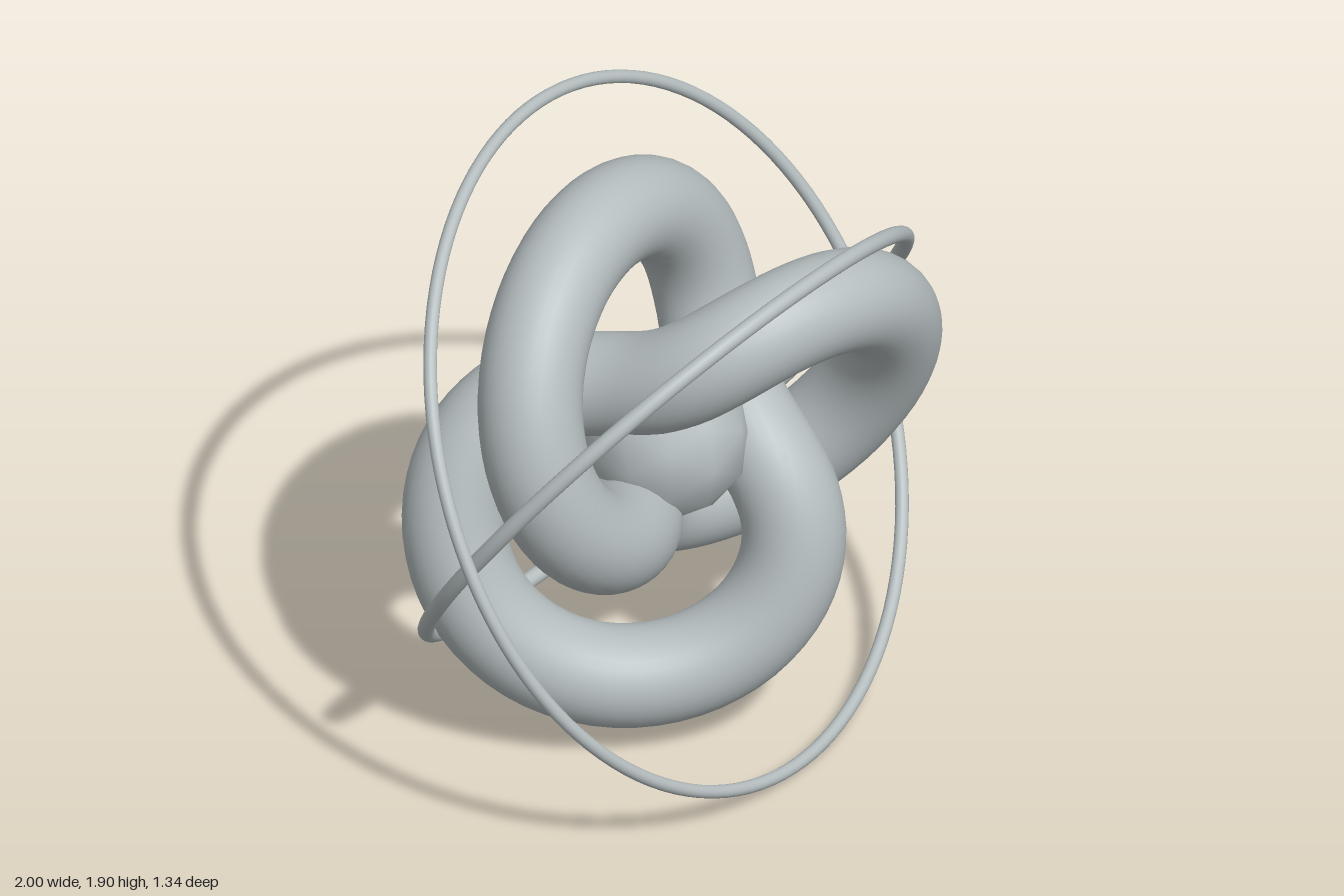
import * as THREE from 'three';

export function createModel() {
  const group = new THREE.Group();
  const grey = new THREE.MeshStandardMaterial({ color: 0xb4bcbe });
  grey.name = 'pale grey';
  const centreY = 0.954;

  const add = (name, geometry, rx = 0, ry = 0) => {
    const mesh = new THREE.Mesh(geometry, grey);
    mesh.name = name;
    mesh.position.y = centreY;
    mesh.rotation.set(rx, ry, 0);
    group.add(mesh);
  };

  // Thick trefoil knot
  add('knot', new THREE.TorusKnotGeometry(0.51, 0.154, 200, 32, 2, 3));

  // Coarse, smooth-shaded ball in the middle
  add('core', new THREE.IcosahedronGeometry(0.255, 1));

  // Two thin tilted rings around the knot
  add('outerRing', new THREE.TorusGeometry(1.062, 0.02, 16, 120), -0.545, 0.395);
  add('innerRing', new THREE.TorusGeometry(0.91, 0.025, 16, 120), 0.65, 0.25);

  return group;
}
